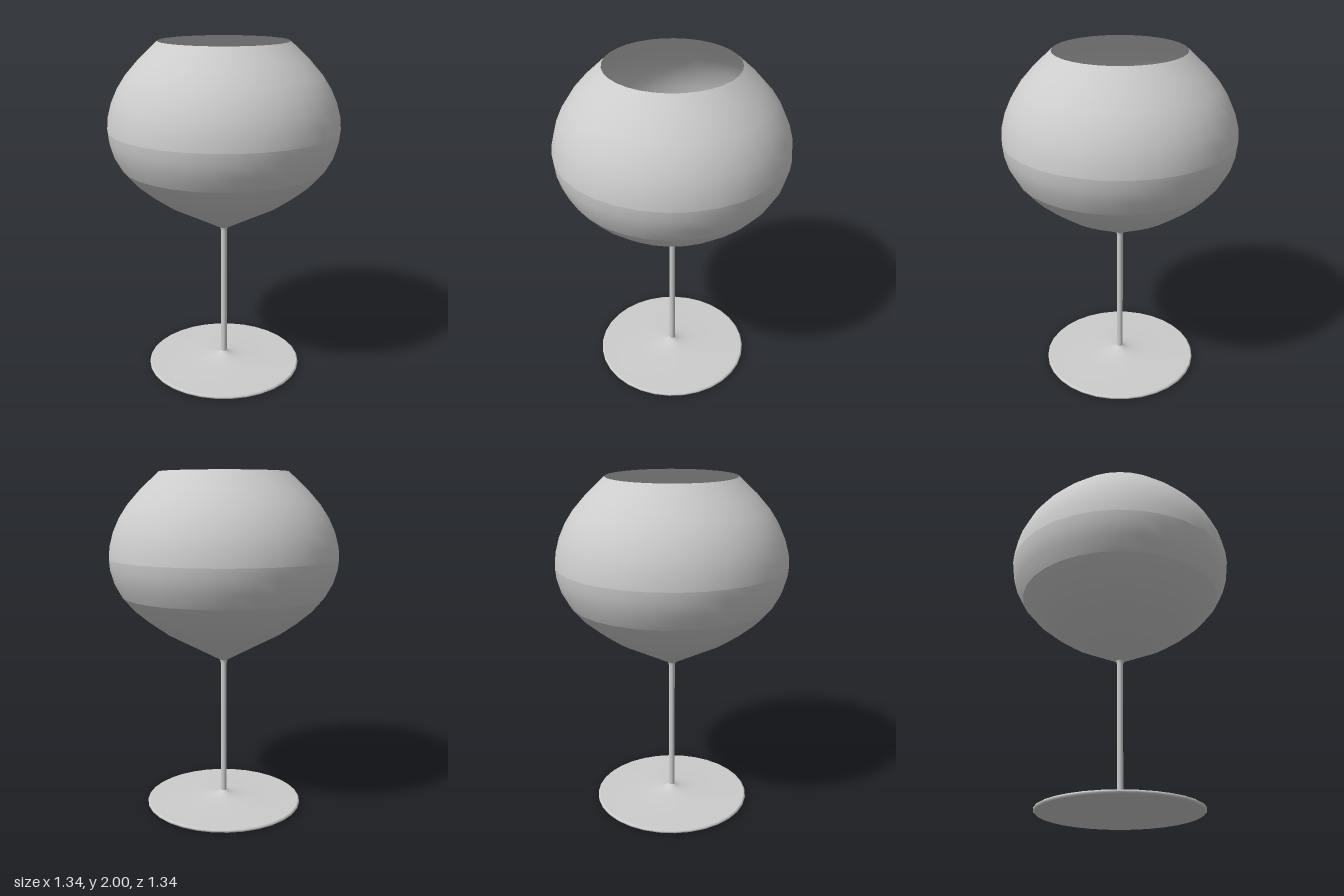
import * as THREE from 'three';

const SIDES = 32;

export function createModel() {
  const glass = new THREE.MeshStandardMaterial({ color: 0xcccccc, side: THREE.DoubleSide });
  glass.name = 'greyGlass';
  const group = new THREE.Group();
  group.name = 'wineGlass';

  // Turns a profile of [radius, height] points, listed bottom to top
  const turn = (name, profile, parent = group) => {
    const points = profile.map(([r, y]) => new THREE.Vector2(r, y));
    const mesh = new THREE.Mesh(new THREE.LatheGeometry(points, SIDES), glass);
    mesh.name = name;
    parent.add(mesh);
  };

  // Foot: flat underside, sharp rim, and a top that flares into the stem
  const foot = new THREE.Group();
  foot.name = 'foot';
  group.add(foot);
  turn('footUnderside', [[0, 0], [0.462, 0]], foot);
  turn('footRim', [[0.462, 0], [0.47, 0.006], [0.47, 0.015], [0.462, 0.02]], foot);
  turn('footTop', [[0.462, 0.02], [0.3, 0.024], [0.16, 0.03], [0.09, 0.038],
    [0.05, 0.048], [0.03, 0.058], [0.018, 0.068]], foot);

  // Stem
  turn('stem', [[0.018, 0.068], [0.018, 0.88], [0.024, 0.9]]);

  // Bowl: three turned sections with a soft break between them, open at the top
  const bowl = new THREE.Group();
  bowl.name = 'bowl';
  group.add(bowl);
  turn('bowlBottom', [[0, 0.897], [0.024, 0.9], [0.2, 0.995], [0.345, 1.072],
    [0.445, 1.143], [0.53, 1.214], [0.595, 1.29]], bowl);
  turn('bowlBelly', [[0.595, 1.29], [0.639, 1.37], [0.662, 1.45], [0.668, 1.51]], bowl);
  turn('bowlShoulder', [[0.668, 1.51], [0.662, 1.58], [0.64, 1.66], [0.604, 1.74],
    [0.555, 1.815], [0.48, 1.9], [0.373, 2]], bowl);

  return group;
}
